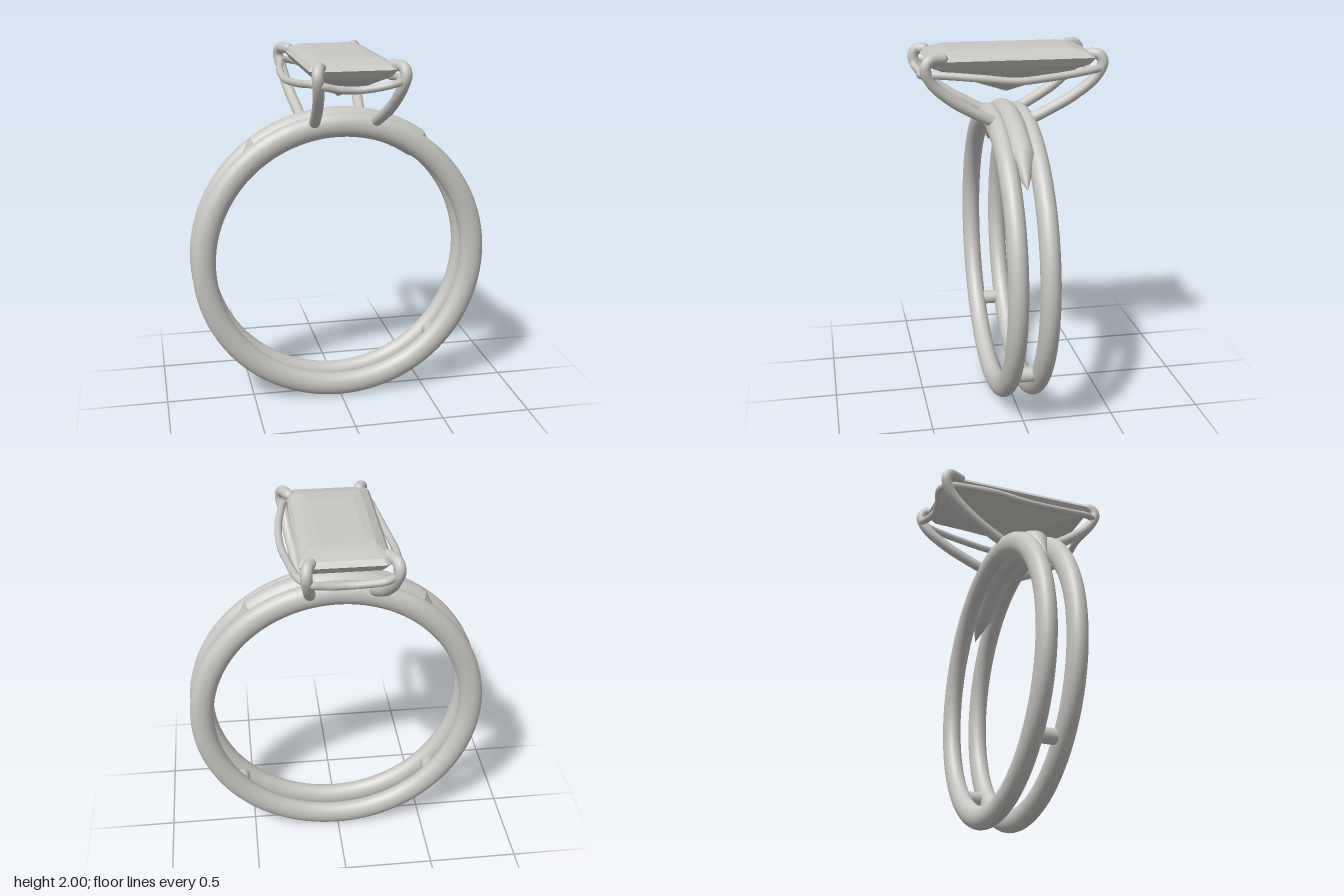
import * as THREE from 'three';

const CENTRE_Y = 0.835, BAND_R = 0.767;
const V = (x, y, z) => new THREE.Vector3(x, y, z);

// Joins closed rings of points; each ring runs counter-clockwise about the direction of travel.
function loft(rings, flat) {
  const n = rings[0].length, pos = [], index = [];
  rings.forEach(r => r.forEach(p => pos.push(p.x, p.y, p.z)));
  for (let i = 0; i < rings.length - 1; i++) {
    for (let j = 0; j < n; j++) {
      const a = i * n + j, b = i * n + (j + 1) % n;
      index.push(a, b, b + n, a, b + n, a + n);
    }
  }
  let geo = new THREE.BufferGeometry();
  geo.setAttribute('position', new THREE.Float32BufferAttribute(pos, 3));
  geo.setIndex(index);
  if (flat) geo = geo.toNonIndexed();
  geo.computeVertexNormals();
  return geo;
}

// Elliptical section of the centre bar at angle a from the top of the ring
function barRing(a, scale) {
  const ring = [];
  for (let j = 0; j < 24; j++) {
    const t = j / 24 * Math.PI * 2;
    const r = 0.772 + 0.082 * scale * Math.cos(t);
    ring.push(V(r * Math.sin(a), CENTRE_Y + r * Math.cos(a), 0.068 * scale * Math.sin(t)));
  }
  return ring;
}

// Cut-corner rectangle for the stone
function stoneRing([y, hx, hz]) {
  const c = hx * 0.13;
  return [[hx, hz - c], [hx, -hz + c], [hx - c, -hz], [-hx + c, -hz],
    [-hx, -hz + c], [-hx, hz - c], [-hx + c, hz], [hx - c, hz]].map(([x, z]) => V(x, y, z));
}

export function createModel() {
  const model = new THREE.Group();
  model.name = 'ring';
  const metal = new THREE.MeshStandardMaterial({ color: 0xc8c6c2 });
  metal.name = 'pale silver';
  const add = (name, geo, parent = model) => {
    const mesh = new THREE.Mesh(geo, metal);
    mesh.name = name;
    parent.add(mesh);
    return mesh;
  };

  // Twin bands
  for (const s of [1, -1]) {
    const band = add(s > 0 ? 'frontBand' : 'backBand', new THREE.TorusGeometry(BAND_R, 0.066, 28, 128));
    band.position.set(0, CENTRE_Y, s * 0.083);
    band.scale.z = 0.8;
  }

  // Short bars joining the bands low on each side
  for (const s of [1, -1]) {
    const bar = add(s > 0 ? 'leftBridge' : 'rightBridge', new THREE.CylinderGeometry(0.042, 0.042, 0.14, 24));
    bar.rotation.x = Math.PI / 2;
    bar.position.set(s * 0.562, 0.315, 0);
  }

  // Centre bar along the top, with a pointed tip at each end
  const end = 0.61, tip = 0.855, body = [];
  for (let i = 0; i <= 36; i++) body.push(barRing(-end + 2 * end * i / 36, 1));
  add('centreBar', loft(body));
  add('leftBarTip', loft([barRing(end, 1), barRing(tip, 0.001)]));
  add('rightBarTip', loft([barRing(-tip, 0.001), barRing(-end, 1)]));

  // Step-cut stone: keel, pavilion, girdle, crown and table
  add('stone', loft([
    [1.745, 0.001, 0.002], [1.83, 0.105, 0.235], [1.905, 0.205, 0.42], [1.945, 0.23, 0.45],
    [1.97, 0.213, 0.425], [1.993, 0.165, 0.335], [2.0, 0.115, 0.23], [2.0, 0.001, 0.002],
  ].map(stoneRing), true));

  // Prongs: one pair, repeated by a half turn
  const prongs = [
    ['Left', [[0.19, 1.62, 0.11], [0.2, 1.66, 0.19], [0.222, 1.74, 0.325], [0.242, 1.84, 0.435],
      [0.258, 1.92, 0.468], [0.25, 1.957, 0.445], [0.215, 1.962, 0.375]]],
    ['Right', [[-0.15, 1.62, 0.11], [-0.158, 1.66, 0.19], [-0.172, 1.74, 0.33], [-0.188, 1.84, 0.448],
      [-0.198, 1.92, 0.484], [-0.193, 1.957, 0.465], [-0.175, 1.962, 0.425]]],
  ];
  for (const turn of [0, Math.PI]) {
    for (const [side, pts] of prongs) {
      const prong = new THREE.Group();
      prong.name = (turn ? 'back' : 'front') + side + 'Prong';
      prong.rotation.y = turn;
      model.add(prong);
      const path = new THREE.CatmullRomCurve3(pts.map(p => V(...p)));
      add('prongWire', new THREE.TubeGeometry(path, 48, 0.03, 14), prong);
      for (const p of [pts[0], pts[pts.length - 1]]) {
        add('prongEnd', new THREE.SphereGeometry(0.03, 18, 12), prong).position.set(...p);
      }
    }
  }

  // Wavy wire rail around the stone; the second half is the first turned by 180 degrees
  const half = [[0, 1.85, 0.455], [0.1, 1.86, 0.468], [0.19, 1.88, 0.487], [0.238, 1.885, 0.455],
    [0.27, 1.878, 0.32], [0.291, 1.865, 0.17], [0.29, 1.846, 0], [0.27, 1.855, -0.17],
    [0.25, 1.87, -0.32], [0.223, 1.885, -0.44], [0.18, 1.88, -0.482], [0.1, 1.86, -0.47]];
  const railPts = [...half.map(([x, y, z]) => V(x, y, z)), ...half.map(([x, y, z]) => V(-x, y, -z))];
  add('rail', new THREE.TubeGeometry(new THREE.CatmullRomCurve3(railPts, true), 200, 0.02, 12, true));

  return model;
}
